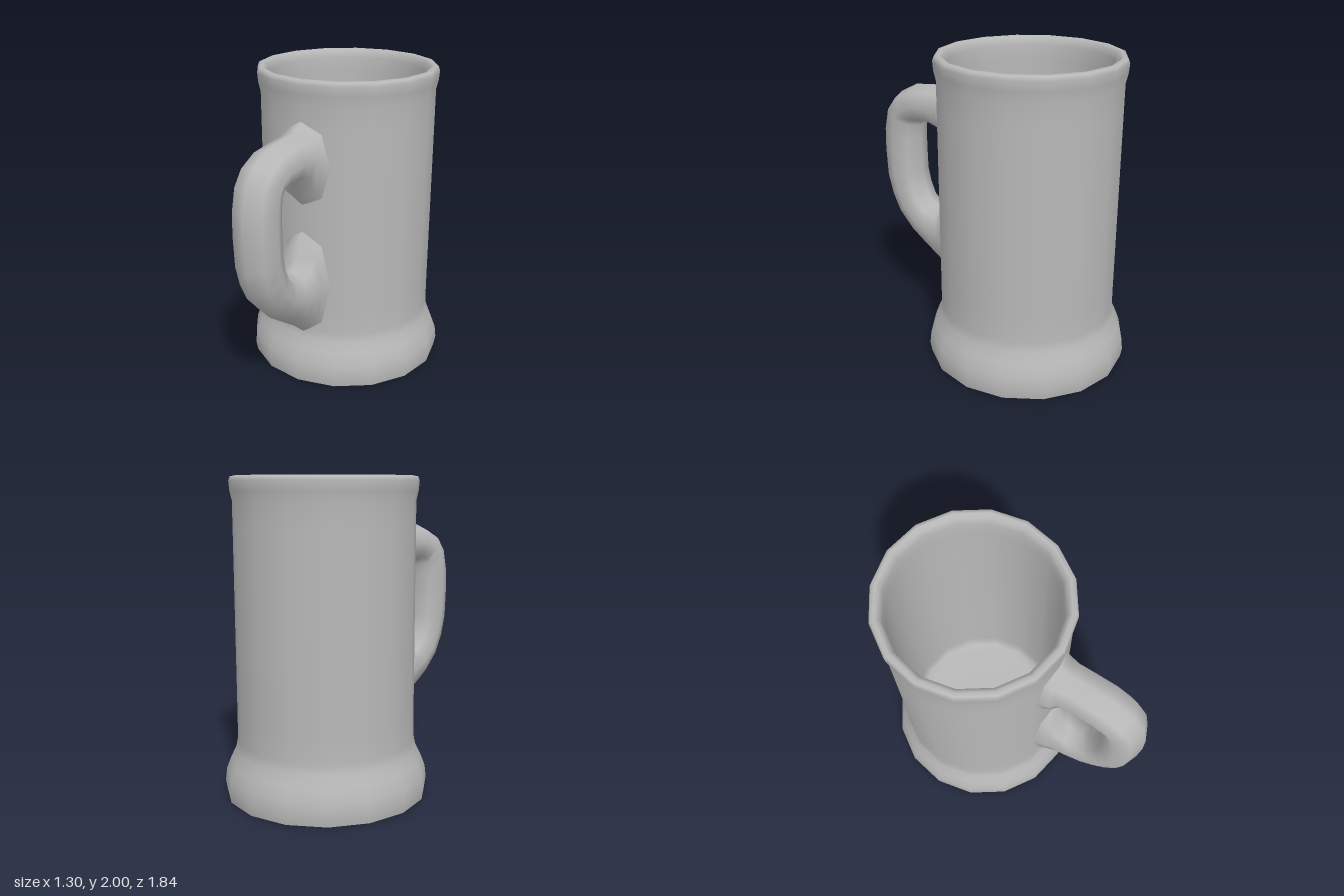
import * as THREE from 'three';

const SIDES = 16;
const BODY_Z = -0.265;

// Loft elliptical rings between outer and inner edge points [outerZ, outerY, innerZ, innerY, halfWidth]
function loftHandle(sections, sides) {
  const positions = [], index = [];
  sections.forEach(([oz, oy, iz, iy, w], i) => {
    for (let j = 0; j < sides; j++) {
      const a = (j / sides) * Math.PI * 2;
      const t = (1 + Math.cos(a)) / 2;
      positions.push(w * Math.sin(a), iy + (oy - iy) * t, iz + (oz - iz) * t);
      if (i < sections.length - 1) {
        const k = (j + 1) % sides;
        const p = i * sides + j, q = i * sides + k;
        index.push(p, p + sides, q, p + sides, q + sides, q);
      }
    }
  });
  const geo = new THREE.BufferGeometry();
  geo.setAttribute('position', new THREE.Float32BufferAttribute(positions, 3));
  geo.setIndex(index);
  geo.computeVertexNormals();
  return geo;
}

export function createModel() {
  const group = new THREE.Group();
  const grey = new THREE.MeshStandardMaterial({ color: 0xb8b8b8 });
  grey.name = 'plain grey';

  const add = (name, geo, z = 0) => {
    const mesh = new THREE.Mesh(geo, grey);
    mesh.name = name;
    mesh.position.z = z;
    group.add(mesh);
    return mesh;
  };

  // Hollow vessel: flared foot, straight wall, rolled rim, inner wall and floor
  const profile = [
    [0.642, 0], [0.652, 0.06], [0.643, 0.14], [0.612, 0.22], [0.578, 0.29],
    [0.567, 0.35], [0.566, 0.5], [0.566, 1.7], [0.566, 1.85], [0.58, 1.91],
    [0.585, 1.97], [0.575, 1.995], [0.55, 2], [0.525, 1.985], [0.513, 1.94],
    [0.51, 1.85], [0.51, 0.3], [0.49, 0.22], [0.44, 0.2], [0, 0.2],
  ].map(([r, y]) => new THREE.Vector2(r, y));
  add('vessel', new THREE.LatheGeometry(profile, SIDES), BODY_Z);

  // Flat underside
  const underside = add('underside', new THREE.CircleGeometry(0.642, SIDES), BODY_Z);
  underside.rotation.x = Math.PI / 2;

  // Handle, flaring where it meets the wall
  add('handle', loftHandle([
    [0.265, 1.77, 0.265, 1.18, 0.18],
    [0.325, 1.73, 0.335, 1.26, 0.165],
    [0.38, 1.70, 0.385, 1.39, 0.15],
    [0.50, 1.69, 0.47, 1.418, 0.145],
    [0.66, 1.67, 0.57, 1.42, 0.145],
    [0.80, 1.60, 0.62, 1.415, 0.145],
    [0.88, 1.50, 0.635, 1.385, 0.145],
    [0.917, 1.35, 0.638, 1.30, 0.145],
    [0.922, 1.20, 0.638, 1.20, 0.145],
    [0.91, 1.00, 0.635, 1.05, 0.145],
    [0.87, 0.86, 0.615, 0.96, 0.145],
    [0.80, 0.73, 0.58, 0.88, 0.145],
    [0.68, 0.61, 0.52, 0.835, 0.145],
    [0.55, 0.52, 0.43, 0.82, 0.145],
    [0.42, 0.43, 0.365, 0.885, 0.15],
    [0.335, 0.36, 0.338, 1.0, 0.16],
    [0.265, 0.30, 0.265, 1.08, 0.18],
  ], 8));

  return group;
}
